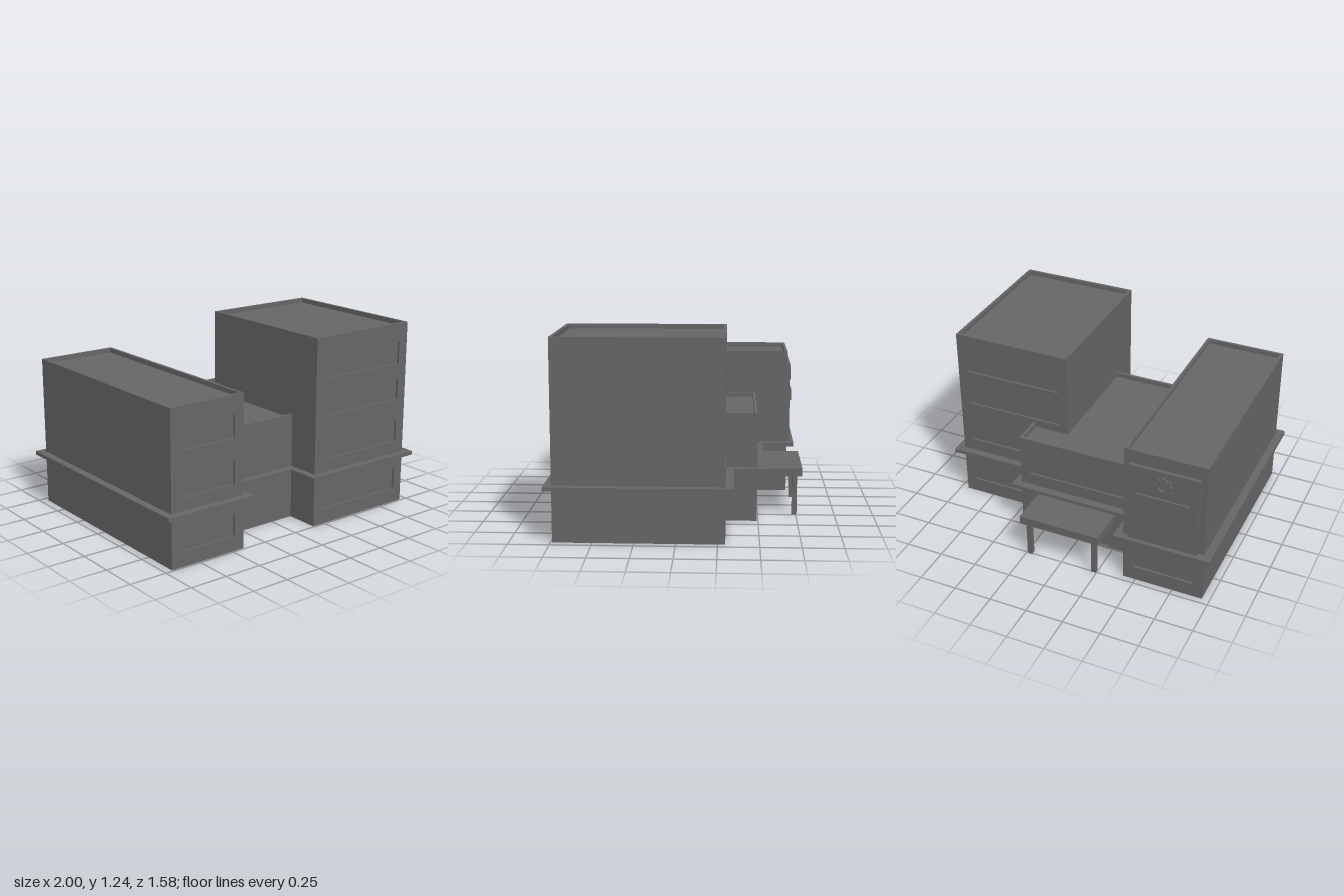
import * as THREE from 'three';

const grey = new THREE.MeshStandardMaterial({ color: 0x666666, flatShading: true });
const thin = new THREE.MeshStandardMaterial({ color: 0x666666, flatShading: true, side: THREE.DoubleSide });

const RECESS = 0.015; // depth of windows and doors
const LIP = 0.02;     // parapet width
const SINK = 0.03;    // roof depth below the parapet
const BASE = [0.098, 0.243];
const FIRST = [0.433, 0.578];
const SECOND = [0.723, 0.868];
const THIRD = [0.968, 1.113];

function add(parent, name, geometry, material = grey) {
  const mesh = new THREE.Mesh(geometry, material);
  mesh.name = name;
  parent.add(mesh);
  return mesh;
}

// Box given by its limits on each axis
function box(parent, name, [x0, x1], [y0, y1], [z0, z1]) {
  const mesh = add(parent, name, new THREE.BoxGeometry(x1 - x0, y1 - y0, z1 - z0));
  mesh.position.set((x0 + x1) / 2, (y0 + y1) / 2, (z0 + z1) / 2);
}

function rectPath(path, x0, y0, x1, y1) {
  path.moveTo(x0, y0).lineTo(x1, y0).lineTo(x1, y1).lineTo(x0, y1);
  path.closePath();
  return path;
}

// Thin wall facing +z, with shallow recessed openings [x0, x1, y0, y1]
function wall(name, width, height, openings) {
  const group = new THREE.Group();
  group.name = name;
  const shape = rectPath(new THREE.Shape(), -width / 2, 0, width / 2, height);
  for (const [x0, x1, y0, y1] of openings) {
    shape.holes.push(rectPath(new THREE.Path(), x0, y0, x1, y1));
    // tray without its front face
    const tray = new THREE.BoxGeometry(x1 - x0, y1 - y0, RECESS);
    const index = Array.from(tray.index.array);
    index.splice(24, 6);
    tray.setIndex(index);
    tray.clearGroups();
    tray.translate((x0 + x1) / 2, (y0 + y1) / 2, -RECESS / 2);
    add(group, 'recessedOpening', tray, thin);
  }
  add(group, 'wallSurface', new THREE.ShapeGeometry(shape), thin);
  return group;
}

// Building block, open underneath, with a sunken roof behind a parapet
function block(name, [x0, x1], [z0, z1], height, front, back) {
  const group = new THREE.Group();
  group.name = name;
  const w = x1 - x0, d = z1 - z0;
  const sides = [
    ['frontWall', w, d / 2, 0, front],
    ['leftWall', d, w / 2, Math.PI / 2, []],
    ['backWall', w, d / 2, Math.PI, back],
    ['rightWall', d, w / 2, -Math.PI / 2, []],
  ];
  for (const [label, width, offset, angle, openings] of sides) {
    const side = wall(label, width, height, openings);
    side.rotation.y = angle;
    side.position.set(Math.sin(angle) * offset, 0, Math.cos(angle) * offset);
    group.add(side);
  }
  const rim = rectPath(new THREE.Shape(), -w / 2, -d / 2, w / 2, d / 2);
  rim.holes.push(rectPath(new THREE.Path(), -w / 2 + LIP, -d / 2 + LIP, w / 2 - LIP, d / 2 - LIP));
  const parapet = new THREE.ExtrudeGeometry(rim, { depth: SINK, bevelEnabled: false });
  parapet.rotateX(-Math.PI / 2).translate(0, height - SINK, 0);
  add(group, 'parapet', parapet);
  const roof = new THREE.PlaneGeometry(w - 2 * LIP, d - 2 * LIP);
  roof.rotateX(-Math.PI / 2).translate(0, height - SINK, 0);
  add(group, 'roof', roof, thin);
  group.position.set((x0 + x1) / 2, 0, (z0 + z1) / 2);
  return group;
}

// Window strips across a wall, one per storey
const strips = (width, rows) => rows.map(([y0, y1]) => [-width / 2 + 0.067, width / 2 - 0.067, y0, y1]);

export function createModel() {
  const model = new THREE.Group();
  model.name = 'building';

  // Three main blocks
  const towerRows = strips(0.79, [BASE, FIRST, SECOND, THIRD]);
  model.add(block('tower', [0.16, 0.95], [-0.295, 0.74], 1.235, towerRows, towerRows));
  model.add(block('longWing', [-0.95, -0.415], [-0.71, 0.74], 0.99,
    strips(0.535, [BASE, FIRST, SECOND]), strips(0.535, [BASE])));
  const doors = [[-0.215, -0.01, 0.005, 0.24], [0.01, 0.215, 0.005, 0.24]];
  model.add(block('centralHall', [-0.415, 0.41], [-0.492, 0.518], 0.7, [],
    [...strips(0.825, [FIRST]), ...doors]));

  // Projecting slab around all blocks, above the ground floor
  const outline = [[-1, 0.788], [-0.367, 0.788], [-0.367, 0.567], [0.113, 0.567], [0.113, 0.788], [1, 0.788],
    [1, -0.345], [0.457, -0.345], [0.457, -0.543], [-0.367, -0.543], [-0.367, -0.762], [-1, -0.762]];
  const slab = new THREE.ExtrudeGeometry(
    new THREE.Shape(outline.map(([x, z]) => new THREE.Vector2(x, -z))),
    { depth: 0.025, bevelEnabled: false });
  slab.rotateX(-Math.PI / 2).translate(0, 0.325, 0);
  add(model, 'ledge', slab);

  // Entrance canopy on two posts
  box(model, 'canopy', [-0.275, 0.27], [0.26, 0.313], [-0.788, -0.492]);
  for (const x of [-0.23, 0.225]) {
    box(model, 'canopyPost', [x - 0.016, x + 0.016], [0, 0.26], [-0.757, -0.725]);
  }

  // Raised panel on the back of the wing, with a bar and a round ornament
  box(model, 'backPanel', [-0.91, -0.455], [0.32, 0.9], [-0.735, -0.71]);
  box(model, 'panelBar', [-0.855, -0.51], [0.63, 0.707], [-0.748, -0.735]);
  const ornament = new THREE.Group();
  ornament.name = 'roundOrnament';
  ornament.position.set(-0.685, 0.807, -0.748);
  const ring = new THREE.Shape().absarc(0, 0, 0.048, 0, Math.PI * 2);
  ring.holes.push(new THREE.Path().absarc(0, 0, 0.036, 0, Math.PI * 2));
  add(ornament, 'ring', new THREE.ExtrudeGeometry(ring, { depth: 0.013, bevelEnabled: false, curveSegments: 16 }));
  for (let i = 0; i < 8; i++) {
    const tooth = new THREE.BoxGeometry(0.018, 0.022, 0.013);
    tooth.translate(0, 0.047, 0.0065).rotateZ((i * Math.PI) / 4);
    add(ornament, 'tooth', tooth);
  }
  model.add(ornament);

  return model;
}
